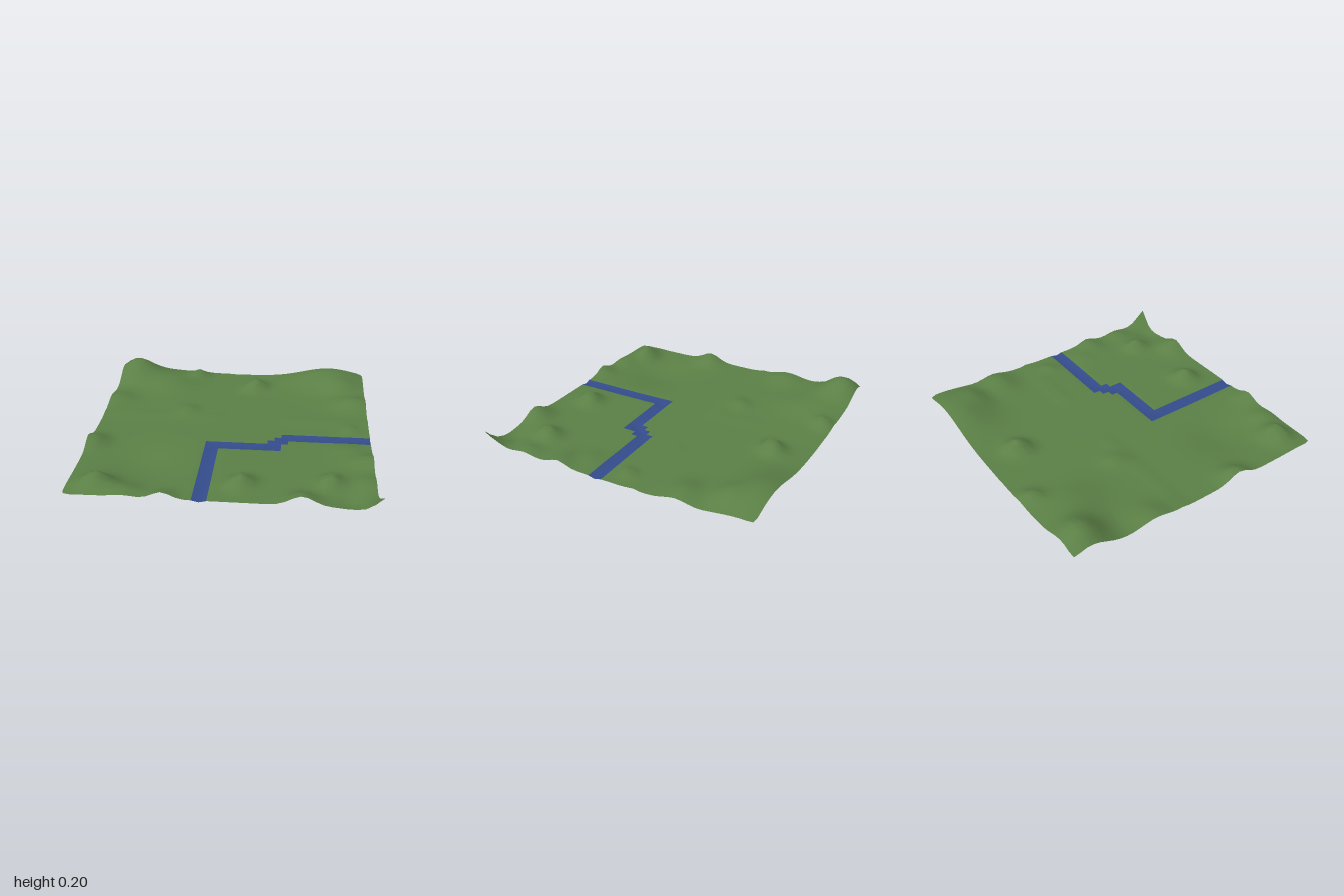
import * as THREE from 'three';

const N = 41, CELL = 1.972 / N, BASE = 0.045;

// hills and hollows: x, z, height, radius in x, radius in z
const bumps = [
  [-0.88, -0.88, 0.155, 0.17, 0.17],
  [-0.58, -0.76, 0.05, 0.2, 0.24],
  [-0.37, -0.92, 0.055, 0.065, 0.065],
  [0.11, -0.74, 0.09, 0.075, 0.075],
  [0.11, 0.75, 0.085, 0.075, 0.075],
  [0.7, -0.92, 0.095, 0.3, 0.22],
  [0.79, -0.73, 0.035, 0.12, 0.09],
  [0.88, -0.48, 0.05, 0.16, 0.11],
  [0.83, -0.06, 0.035, 0.05, 0.05],
  [-0.95, -0.4, 0.045, 0.13, 0.14],
  [-0.38, -0.27, 0.033, 0.07, 0.07],
  [-0.97, 0.3, 0.07, 0.09, 0.1],
  [-0.81, 0.82, 0.095, 0.1, 0.08],
  [-0.62, 0.9, 0.035, 0.1, 0.08],
  [-0.37, 0.98, 0.05, 0.08, 0.09],
  [0.5, 0.95, 0.07, 0.1, 0.1],
  [0.68, 0.7, 0.075, 0.07, 0.08],
  [0.92, 0.68, 0.03, 0.08, 0.08],
  [0.95, 0.4, 0.04, 0.14, 0.08],
  [0.8, 0.26, 0.02, 0.09, 0.07],
  [0.99, 1.0, 0.115, 0.075, 0.1],
  [-0.58, 0.55, -0.042, 0.24, 0.24],
  [0.8, 0.9, -0.025, 0.08, 0.07],
];

const step = THREE.MathUtils.smoothstep;

function height(x, z) {
  let y = BASE;
  for (const [cx, cz, h, rx, rz] of bumps)
    y += h * Math.exp(-(((x - cx) / rx) ** 2) - ((z - cz) / rz) ** 2);
  // low banks across the field
  const bank = Math.exp(-(((z + 0.17) / 0.035) ** 2));
  y += 0.01 * bank * (1 - step(x, -0.2, -0.02) + step(x, 0.3, 0.4));
  y += 0.004 * step(-z, 0.15, 0.25) * step(-x, 0.08, 0.14);
  return y;
}

// cells of the river, by column and row
function isRiver(c, r) {
  if (c < 17 || c >= N || r >= N) return false;
  if (c <= 18) return r >= 25;
  if (c <= 25) return r === 25 || r === 26;
  if (c === 26) return r >= 24 && r <= 26;
  if (c === 27) return r >= 23 && r <= 26;
  if (c === 28) return r >= 22 && r <= 24;
  return r === 22 || r === 23;
}

export function createModel() {
  const group = new THREE.Group();
  const positions = [], landIndex = [], riverIndex = [];

  for (let r = 0; r <= N; r++) {
    for (let c = 0; c <= N; c++) {
      let x = -1 + c * CELL, z = -1 + r * CELL;
      let y = height(x, z);
      // river bed sinks where all four neighbouring cells are water
      const bed = isRiver(c, r) && isRiver(c - 1, r) && (r === N || isRiver(c, r - 1)) && isRiver(c - 1, r - 1);
      const mouth = (r === N && c === 18) || (c === N && r === 23);
      if (bed || mouth) y -= 0.012;
      // the front left corner flares outwards, the others are clipped
      const flare = step(x, 0.78, 0.972) * step(z, 0.85, 0.972);
      x += 0.018 * flare;
      z += 0.028 * flare;
      if (c % N === 0 && r % N === 0 && !(c === N && r === N)) {
        x -= Math.sign(x) * 0.01;
        z -= Math.sign(z) * 0.01;
      }
      positions.push(x, y, z);
    }
  }

  for (let r = 0; r < N; r++) {
    for (let c = 0; c < N; c++) {
      const a = r * (N + 1) + c, b = a + 1, d = a + N + 1, e = d + 1;
      (isRiver(c, r) ? riverIndex : landIndex).push(a, d, b, b, d, e);
    }
  }

  // land and river share vertices and normals so the seam stays smooth
  const surface = new THREE.BufferGeometry();
  surface.setAttribute('position', new THREE.Float32BufferAttribute(positions, 3));
  surface.setIndex([...landIndex, ...riverIndex]);
  surface.computeVertexNormals();

  const addPart = (name, index, color) => {
    const geometry = new THREE.BufferGeometry();
    geometry.setAttribute('position', surface.attributes.position);
    geometry.setAttribute('normal', surface.attributes.normal);
    geometry.setIndex(index);
    const material = new THREE.MeshStandardMaterial({ color, side: THREE.DoubleSide });
    const mesh = new THREE.Mesh(geometry, material);
    mesh.name = name;
    group.add(mesh);
  };
  addPart('land', landIndex, 0x5b8046);
  addPart('river', riverIndex, 0x344c8c);

  group.name = 'terrain';
  return group;
}
